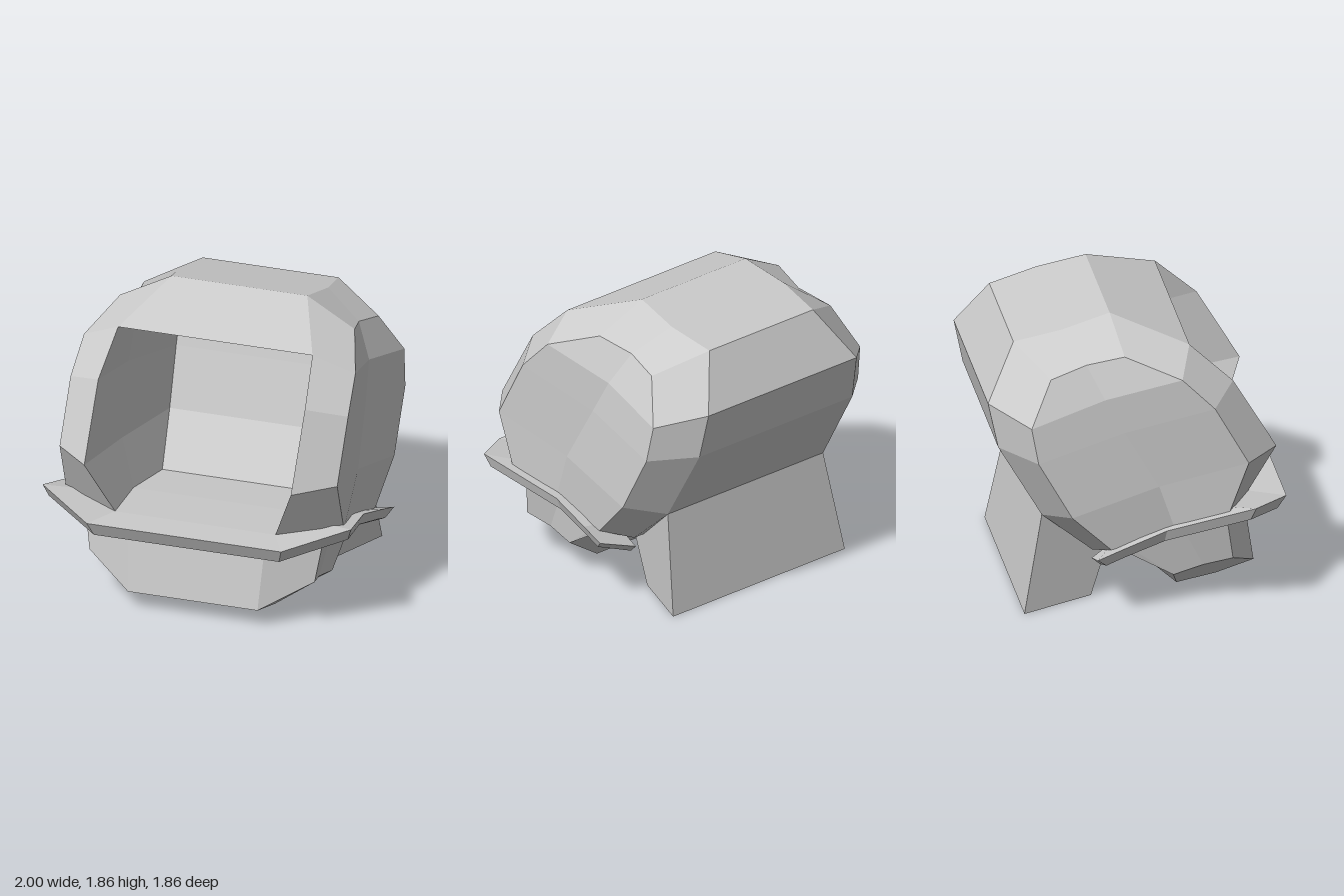
import * as THREE from 'three';

// Each quad carries one shared normal, so facets stay crisp and slightly bent quads stay clean
const material = new THREE.MeshStandardMaterial({ color: 0xcccccc, side: THREE.DoubleSide });

// Point and row mirroring across x = 0
const flip = ([x, y, z]) => [-x, y, z];
const mirrorGrid = (rows) => rows.map((row) => row.map(flip).reverse());
const across = (row) => [...row, ...row.map(flip).reverse()];

// Faceted mesh from grids of points; faces look along (next row) x (row direction).
// Quads split along their shorter diagonal, which keeps both halves symmetric.
function gridMesh(name, grids) {
  const pos = [], nor = [];
  for (const rows of grids) {
    for (let i = 0; i < rows.length - 1; i++) {
      for (let j = 0; j < rows[i].length - 1; j++) {
        const [a, b, c, d] = [rows[i][j], rows[i][j + 1], rows[i + 1][j + 1], rows[i + 1][j]]
          .map((p) => new THREE.Vector3(...p));
        const normal = d.clone().sub(b).cross(c.clone().sub(a)).normalize();
        const corners = a.distanceTo(c) < b.distanceTo(d) - 1e-6 ? [a, d, c, a, c, b] : [a, d, b, d, c, b];
        for (const p of corners) {
          pos.push(...p);
          nor.push(...normal);
        }
      }
    }
  }
  const geometry = new THREE.BufferGeometry();
  geometry.setAttribute('position', new THREE.Float32BufferAttribute(pos, 3));
  geometry.setAttribute('normal', new THREE.Float32BufferAttribute(nor, 3));
  const mesh = new THREE.Mesh(geometry, material);
  mesh.name = name;
  return mesh;
}

export function createModel() {
  const group = new THREE.Group();
  group.name = 'helmet';

  // Shell profile from the lower front, over the crown, to the lower back
  const ridge = [
    [0.52, 0.63, 0.71], [0.67, 0.99, 0.86], [0.67, 1.45, 0.59], [0.63, 1.695, 0.325],
    [0.44, 1.86, -0.14], [0.475, 1.785, -0.44], [0.44, 1.71, -0.74], [0.63, 1.39, -0.93],
    [0.65, 1.1, -0.87], [0.66, 0.63, -0.6], [0.64, 0.36, -0.28], [0.5, 0.45, 0.0],
  ];
  const side = [
    [0.9, 0.64, 0.52], [0.9, 0.99, 0.65], [0.9, 1.37, 0.44], [0.88, 1.57, 0.24],
    [0.76, 1.7, -0.1], [0.71, 1.64, -0.33], [0.76, 1.58, -0.56], [0.88, 1.31, -0.7],
    [0.9, 1.08, -0.66], [0.9, 0.7, -0.45], [0.86, 0.45, -0.2], [0.72, 0.48, 0.0],
  ];
  const band = ridge.map((r, i) => [side[i], r]);
  const frame = band.slice(0, 4);
  group.add(gridMesh('shellFrame', [frame, mirrorGrid(frame)]));
  group.add(gridMesh('shellCrownAndBack', [band.slice(3).map(across)]));

  // Side panels, pinched along a central crease
  const crease = [side[5], [0.81, 1.44, -0.23], [0.83, 1.22, -0.11], [0.85, 0.85, 0.1], [0.84, 0.55, 0.2]];
  const panel = crease.map((m, i) => [side[4 - i], m, side[6 + i]]);
  group.add(gridMesh('sidePanels', [panel, mirrorGrid(panel)]));

  // Face cavity: opening, slightly bowed middle ring and back wall
  const opening = ridge.slice(0, 4);
  const middle = [[0.54, 0.6, 0.3], [0.62, 0.92, 0.28], [0.63, 1.37, 0.12], [0.61, 1.58, 0.07]];
  const inner = [[0.48, 0.56, -0.08], [0.51, 0.87, -0.31], [0.505, 1.25, -0.42], [0.5, 1.37, -0.45]];
  const ring = (pts) => [...across(pts), pts[0]];
  group.add(gridMesh('faceCavity', [[inner, middle, opening].map(ring), inner.map((p) => across([p]))]));

  // Rim: a slab wrapped from ear to ear; each section is outer top, outer bottom, inner bottom, inner top
  const rim = [
    [[0.95, 0.425, -0.3], [0.91, 0.37, -0.24], [0.62, 0.25, -0.23], [0.63, 0.3, -0.285]],
    [[0.933, 0.48, -0.14], [0.9, 0.41, -0.13], [0.68, 0.4, -0.13], [0.68, 0.44, -0.14]],
    [[0.9, 0.57, 0.14], [0.87, 0.49, 0.13], [0.74, 0.5, 0.13], [0.74, 0.56, 0.14]],
    [[1.0, 0.725, 0.68], [0.97, 0.64, 0.65], [0.77, 0.6, 0.53], [0.8, 0.66, 0.53]],
    [[0.63, 0.63, 0.93], [0.6, 0.535, 0.88], [0.45, 0.56, 0.68], [0.52, 0.63, 0.71]],
  ];
  const loop = (s) => [...s, s[0]];
  const rimRows = [...rim, ...[...rim].reverse().map((s) => s.map(flip))].map(loop);
  const [ot, ob, ib, it] = rim[0];
  const rimEnd = [[it, ot], [ib, ob]];
  group.add(gridMesh('rim', [rimRows, rimEnd, mirrorGrid(rimEnd)]));

  // Jaw below the rim, with creased corners and cheeks
  const jaw = [
    [[0.74, 0.41, -0.15], [0.47, 0.41, -0.15]],
    [[0.72, 0.19, 0.21], [0.42, 0, 0.28]],
    [[0.7, 0.235, 0.4], [0.45, 0.06, 0.52]],
    [[0.73, 0.28, 0.58], [0.42, 0.12, 0.76]],
    [[0.78, 0.6, 0.53], [0.45, 0.58, 0.69]],
  ];
  const cheek = [
    [jaw[4][0], [0.75, 0.56, 0.24], [0.75, 0.46, -0.14]],
    [jaw[3][0], jaw[2][0], jaw[1][0]],
  ];
  const cheekBack = [[cheek[0][2], jaw[0][0]], [jaw[1][0], [0.73, 0.3, 0.03]]];
  group.add(gridMesh('jaw', [jaw.map(across), cheek, cheekBack, mirrorGrid(cheek), mirrorGrid(cheekBack)]));

  // Neck block, wider at the back
  const bb = [0.73, 0, -0.72], fb = [0.52, 0, -0.27], ft = [0.54, 0.48, -0.13], bt = [0.66, 0.63, -0.6];
  const neckSide = [[ft, bt], [fb, bb]];
  group.add(gridMesh('neck', [[bb, fb, ft, bt, bb].map((p) => across([p])), neckSide, mirrorGrid(neckSide)]));

  return group;
}
